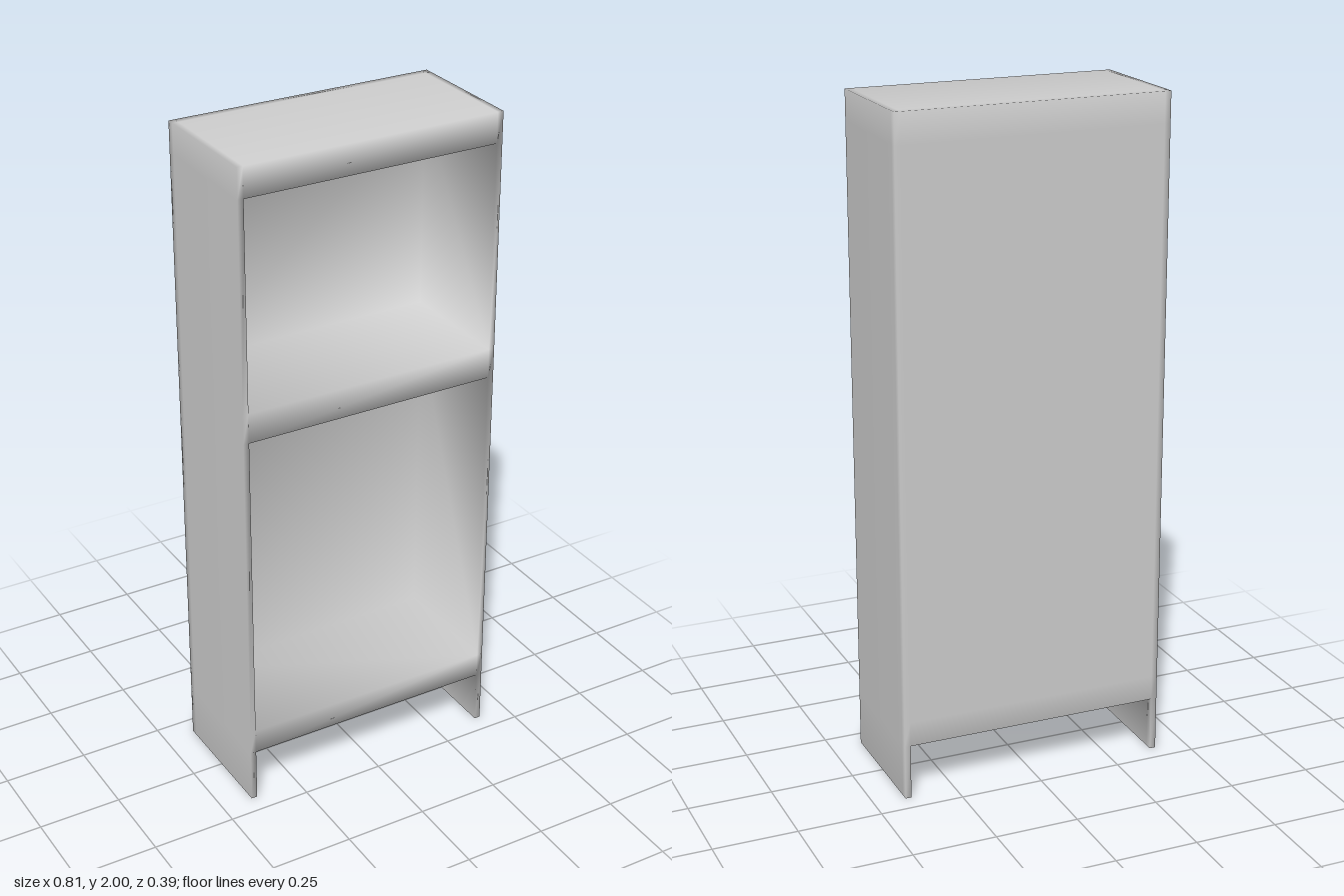
import * as THREE from 'three';

// Grid planes that bound every board of the cabinet
const planes = [
  [-0.405, -0.387, 0.387, 0.405],
  [0, 0.165, 0.24, 1.2, 1.29, 1.91, 2],
  [-0.193, -0.17, 0.193],
];

// Which board fills a grid cell (null = empty space)
function boardAt([i, j, k]) {
  if (i < 0 || i > 2 || j < 0 || j > 5 || k < 0 || k > 1) return null;
  if (i === 0) return 'rightSide';
  if (i === 2) return 'leftSide';
  const rows = [null, 'base', 'lowerBack', 'middleShelf', 'upperBack', 'topPanel'];
  if ((j === 2 || j === 4) && k === 1) return null; // open compartments
  return rows[j];
}

export function createModel() {
  const group = new THREE.Group();
  group.name = 'cabinet';
  const material = new THREE.MeshStandardMaterial({ color: 0xcccccc });
  const boards = {};
  const normals = new Map(); // shared, so shading flows smoothly across boards

  // Exposed face of a cell along an axis, toward side +1 or -1
  function addFace(board, cell, axis, side) {
    const u = (axis + 1) % 3, v = (axis + 2) % 3;
    const corners = [[0, 0], [1, 0], [1, 1], [0, 1]].map(([a, b]) => {
      const p = [0, 0, 0];
      p[axis] = planes[axis][cell[axis] + (side > 0 ? 1 : 0)];
      p[u] = planes[u][cell[u] + a];
      p[v] = planes[v][cell[v] + b];
      return p;
    });
    if (side < 0) corners.reverse();
    const area = Math.abs((corners[2][u] - corners[0][u]) * (corners[2][v] - corners[0][v]));
    for (const p of corners) {
      const key = p.join();
      if (!normals.has(key)) normals.set(key, new THREE.Vector3());
      const n = normals.get(key);
      n.setComponent(axis, n.getComponent(axis) + side * area);
    }
    (boards[board] ??= []).push(...[0, 1, 2, 0, 2, 3].map((c) => corners[c]));
  }

  // Collect the outer skin of the boards
  for (let i = 0; i < 3; i++) for (let j = 0; j < 6; j++) for (let k = 0; k < 2; k++) {
    const cell = [i, j, k];
    const board = boardAt(cell);
    if (!board) continue;
    for (let axis = 0; axis < 3; axis++) for (const side of [-1, 1]) {
      const next = [...cell];
      next[axis] += side;
      if (!boardAt(next)) addFace(board, cell, axis, side);
    }
  }

  // One mesh per board
  for (const n of normals.values()) n.normalize();
  for (const [name, points] of Object.entries(boards)) {
    const geometry = new THREE.BufferGeometry();
    geometry.setAttribute('position', new THREE.Float32BufferAttribute(points.flat(), 3));
    const shading = points.flatMap((p) => normals.get(p.join()).toArray());
    geometry.setAttribute('normal', new THREE.Float32BufferAttribute(shading, 3));
    const mesh = new THREE.Mesh(geometry, material);
    mesh.name = name;
    group.add(mesh);
  }
  return group;
}
